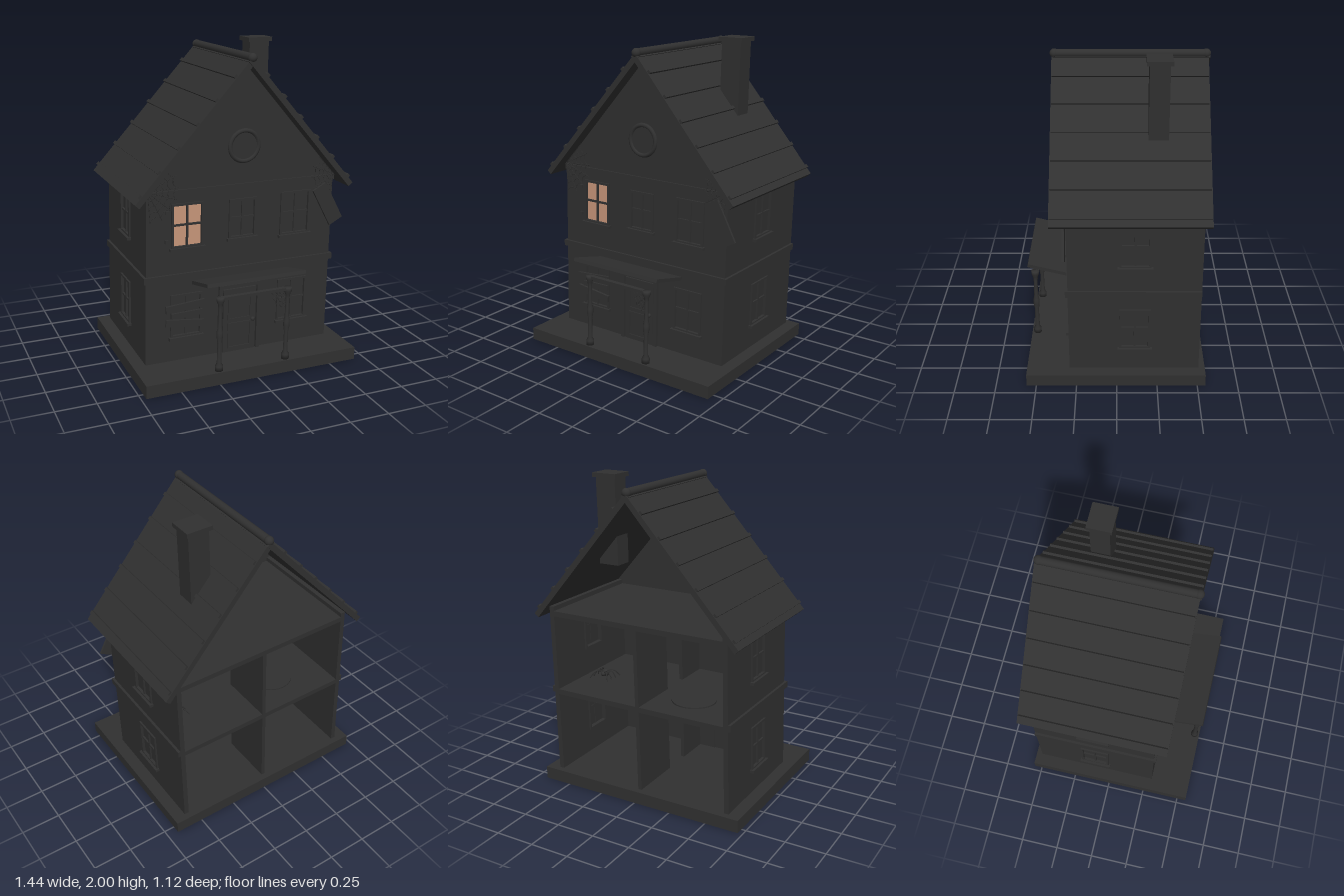
import * as THREE from 'three';
import { mergeGeometries } from 'three/addons/utils/BufferGeometryUtils.js';

const charcoal = new THREE.MeshStandardMaterial({ color: 0x303030 });
charcoal.name = 'charcoal';
const candleGlow = new THREE.MeshStandardMaterial({ color: 0xc8967a });
candleGlow.name = 'candle glow';

const V = (x, y, z) => new THREE.Vector3(x, y, z);

function add(parent, name, geometry, x = 0, y = 0, z = 0, material = charcoal) {
  const mesh = new THREE.Mesh(geometry, material);
  mesh.name = name;
  mesh.position.set(x, y, z);
  parent.add(mesh);
  return mesh;
}

function box(parent, name, w, h, d, x, y, z, material) {
  return add(parent, name, new THREE.BoxGeometry(w, h, d), x, y, z, material);
}

function subgroup(parent, name, x, y, z) {
  const g = new THREE.Group();
  g.name = name;
  g.position.set(x, y, z);
  parent.add(g);
  return g;
}

function rectPath(cx, cy, w, h) {
  return new THREE.Path([[-1, -1], [-1, 1], [1, 1], [1, -1]]
    .map(([a, b]) => new THREE.Vector2(cx + a * w / 2, cy + b * h / 2)));
}

function panel(points, holes, depth) {
  const shape = new THREE.Shape(points.map(p => new THREE.Vector2(...p)));
  shape.holes.push(...holes);
  return new THREE.ExtrudeGeometry(shape, { depth, bevelEnabled: false, curveSegments: 32 });
}

const T = 0.03;          // wall thickness
const FRONT = 0.295;     // outer face of the front wall
const BACK = -0.51;      // open back edge
const HALF = 0.62;       // half width of the house
const STOREYS = [0.375, 0.95];

// Window set into a wall opening; the local origin lies on the outer wall face
function addWindow(parent, name, x, y, z, turn, w, h, glass = charcoal) {
  const g = subgroup(parent, name, x, y, z);
  g.rotation.y = turn;
  const f = 0.014, d = T + 0.022, zc = -T / 2;
  for (const s of [-1, 1]) {
    box(g, 'windowJamb', f, h, d, s * (w - f) / 2, 0, zc);
    box(g, 'windowRail', w, f, d, 0, s * (h - f) / 2, zc);
  }
  box(g, 'windowMullion', 0.012, h, 0.02, 0, 0, -0.006);
  box(g, 'windowCrossbar', w, 0.012, 0.02, 0, 0.005, -0.006);
  box(g, 'windowPane', w - f, h - f, 0.006, 0, 0, -0.01, glass);
  box(g, 'windowSill', w + 0.022, 0.018, 0.03, 0, -h / 2 - 0.004, 0.012);
}

// Cobweb fan: straight spokes joined by sagging threads
function addWeb(parent, x, y, z, r, from, to, spokes = 5) {
  const parts = [];
  const thread = curve => parts.push(new THREE.TubeGeometry(curve, 4, 0.002, 4));
  const at = (i, k) => {
    const a = THREE.MathUtils.degToRad(from + (to - from) * i / (spokes - 1));
    return V(Math.cos(a) * k, Math.sin(a) * k, 0);
  };
  for (let i = 0; i < spokes; i++) {
    thread(new THREE.LineCurve3(V(0, 0, 0), at(i, r)));
    if (i === spokes - 1) break;
    for (const k of [0.3, 0.5, 0.7, 0.9]) {
      thread(new THREE.QuadraticBezierCurve3(at(i, r * k), at(i + 0.5, r * k * 0.82), at(i + 1, r * k)));
    }
  }
  add(parent, 'cobweb', mergeGeometries(parts), x, y, z);
}

function addShell(house) {
  box(house, 'base', 1.4, 0.08, 1.11, 0, 0.04, 0.005);
  // Front wall with its gable and window openings
  const openings = STOREYS.flatMap(y => [-0.36, 0.36].map(x => rectPath(x, y, 0.19, 0.27)));
  openings.push(rectPath(0, 0.955, 0.17, 0.24));
  add(house, 'frontWall', panel(
    [[-HALF, 0.08], [HALF, 0.08], [HALF, 1.18], [0, 1.886], [-HALF, 1.18]], openings, T), 0, 0, FRONT - T);
  // Side walls
  for (const s of [-1, 1]) {
    const holes = STOREYS.map(y => rectPath(-0.11, y, 0.18, 0.27));
    const wall = panel([[BACK, 0.08], [FRONT - T, 0.08], [FRONT - T, 1.18], [BACK, 1.18]], holes, T);
    wall.rotateY(-Math.PI / 2);
    add(house, 'sideWall', wall, s > 0 ? HALF : -HALF + T, 0, 0);
    for (const y of STOREYS) addWindow(house, 'sideWindow', s * HALF, y, -0.11, s * Math.PI / 2, 0.19, 0.28);
    box(house, 'sideBand', 0.02, 0.04, FRONT - BACK, s * (HALF + 0.006), 0.63, (FRONT + BACK) / 2);
  }
  box(house, 'frontBand', 1.272, 0.04, 0.03, 0, 0.63, FRONT);
  box(house, 'gableBand', 1.25, 0.035, 0.03, 0, 1.157, FRONT - 0.004);
  // Floors and the partitions with doorways
  for (const y of [0.617, 1.135]) {
    box(house, 'floor', 2 * (HALF - T), 0.033, FRONT - T - BACK, 0, y, (FRONT - T + BACK) / 2);
  }
  for (const [y0, y1] of [[0.08, 0.601], [0.633, 1.119]]) {
    const h = y0 + 0.36;
    const wall = panel([[BACK, y0], [-0.16, y0], [-0.16, h], [0.03, h], [0.03, y0],
      [FRONT - T, y0], [FRONT - T, y1], [BACK, y1]], [], 0.024);
    wall.rotateY(-Math.PI / 2);
    add(house, 'partition', wall, 0.012, 0, 0);
  }
  // Round attic window
  add(house, 'atticWindowRing', new THREE.TorusGeometry(0.093, 0.014, 8, 40), 0, 1.405, FRONT);
  add(house, 'atticWindowPane', new THREE.CylinderGeometry(0.085, 0.085, 0.008, 40).rotateX(Math.PI / 2), 0, 1.405, FRONT);
}

function addRoof(house) {
  const rise = 0.81, run = 0.712, length = Math.hypot(rise, run), pitch = Math.atan2(rise, run);
  for (const s of [-1, 1]) {
    const slope = subgroup(house, 'roofSlope', 0, 1.94, -0.083);
    slope.rotation.z = -s * pitch;
    box(slope, 'roofSlab', length, 0.035, 0.935, s * length / 2, -0.0175, s * 0.004);
    for (let i = 0; i < 6; i++) {
      box(slope, 'roofBatten', 0.022, 0.026, 0.925, s * (0.146 + i * 0.1755), 0.002, s * 0.004);
    }
  }
  add(house, 'roofRidge', new THREE.CylinderGeometry(0.025, 0.025, 0.92, 16).rotateX(Math.PI / 2), 0, 1.938, -0.08);
  for (const z of [0.372, -0.532]) add(house, 'ridgeKnob', new THREE.SphereGeometry(0.028, 16, 12), 0, 1.938, z);
  box(house, 'chimney', 0.135, 0.54, 0.118, 0.3, 1.71, -0.243);
  box(house, 'chimneyCap', 0.165, 0.027, 0.15, 0.3, 1.9865, -0.243);
}

function addFront(house) {
  // Front windows, one of them lit
  for (const y of STOREYS) {
    for (const x of [-0.36, 0.36]) {
      addWindow(house, 'frontWindow', x, y, FRONT, 0, 0.205, 0.28, y > 0.5 && x < 0 ? candleGlow : charcoal);
    }
  }
  addWindow(house, 'middleWindow', 0, 0.955, FRONT, 0, 0.182, 0.25);
  // Nailed boards, hanging shutter and leftover hinges
  for (const [y, tilt] of [[0.44, 0.08], [0.33, -0.12]]) {
    box(house, 'windowBoard', 0.25, 0.045, 0.015, -0.375, y, 0.318).rotation.z = tilt;
  }
  box(house, 'brokenBoard', 0.2, 0.035, 0.012, -0.36, 0.385, 0.313).rotation.z = 0.03;
  box(house, 'brokenShutter', 0.1, 0.27, 0.015, 0.582, 0.985, 0.312).rotation.z = 0.5;
  for (const y of [0.86, 1.04]) box(house, 'shutterHinge', 0.02, 0.02, 0.015, -0.492, y, 0.3);

  // Door, slightly out of true
  const door = subgroup(house, 'door', -0.005, 0.08, FRONT);
  for (const s of [-1, 1]) box(door, 'doorJamb', 0.025, 0.44, 0.04, s * 0.13, 0.22, 0);
  box(door, 'doorLintel', 0.285, 0.022, 0.044, 0, 0.441, 0);
  box(door, 'doorLeaf', 0.22, 0.42, 0.02, 0, 0.21, 0.003);
  box(door, 'doorInside', 0.24, 0.43, 0.01, 0, 0.215, -T - 0.003);
  for (const [y, h] of [[0.11, 0.16], [0.29, 0.14]]) {
    for (const s of [-1, 1]) {
      box(door, 'doorMoulding', 0.01, h, 0.012, s * 0.075, y, 0.014);
      box(door, 'doorMoulding', 0.16, 0.01, 0.012, 0, y + s * h / 2, 0.014);
    }
  }
  add(door, 'doorKnob', new THREE.SphereGeometry(0.014, 12, 10), 0.088, 0.205, 0.024);

  // Porch with turned posts and a sagging canopy
  const profile = [[0, 0], [0.025, 0], [0.025, 0.03], [0.015, 0.05], [0.013, 0.18], [0.02, 0.22], [0.02, 0.25],
    [0.013, 0.29], [0.012, 0.4], [0.016, 0.43], [0.025, 0.45], [0.025, 0.472], [0, 0.472]];
  for (const x of [-0.228, 0.218]) {
    add(house, 'porchPost', new THREE.LatheGeometry(profile.map(p => new THREE.Vector2(...p)), 14), x, 0.08, 0.525);
  }
  box(house, 'porchBeam', 0.47, 0.018, 0.03, -0.005, 0.543, 0.525);
  box(house, 'porchRoof', 0.645, 0.022, 0.265, -0.005, 0.615, 0.432).rotation.x = -0.25;

  addWeb(house, -0.615, 1.18, 0.309, 0.2, 48, -85, 7);
  addWeb(house, 0.615, 1.18, 0.309, 0.16, 132, 265, 6);
  addWeb(house, 0.225, 0.53, 0.52, 0.13, 180, 270, 5);
}

function addFurnishings(house) {
  add(house, 'rug', new THREE.CylinderGeometry(0.14, 0.14, 0.008, 32), -0.25, 0.638, -0.24);
  // Spider on the upper floor
  const spider = subgroup(house, 'spider', 0.46, 0.66, -0.18);
  add(spider, 'spiderBody', new THREE.SphereGeometry(0.024, 12, 10), 0, 0, 0.015);
  add(spider, 'spiderHead', new THREE.SphereGeometry(0.015, 12, 10), 0, 0, -0.018);
  for (const s of [-1, 1]) {
    for (let i = 0; i < 4; i++) {
      const z = (i - 1.5) * 0.032;
      const leg = new THREE.QuadraticBezierCurve3(V(0, 0, z * 0.2), V(s * 0.04, 0.05, z * 0.8), V(s * 0.07, -0.025, z * 1.5));
      add(spider, 'spiderLeg', new THREE.TubeGeometry(leg, 6, 0.004, 5));
    }
  }
}

export function createModel() {
  const house = new THREE.Group();
  house.name = 'crookedHouse';
  addShell(house);
  addRoof(house);
  addFront(house);
  addFurnishings(house);

  // Lean the whole house sideways by a slight shear
  const lean = new THREE.Matrix4().set(1, 0.026, 0, -0.02, 0, 1, 0, 0, 0, 0, 1, 0, 0, 0, 0, 1);
  house.updateMatrixWorld(true);
  house.traverse(o => { if (o.isMesh) o.geometry.applyMatrix4(o.matrixWorld).applyMatrix4(lean); });
  house.traverse(o => { o.position.set(0, 0, 0); o.rotation.set(0, 0, 0); });
  return house;
}
